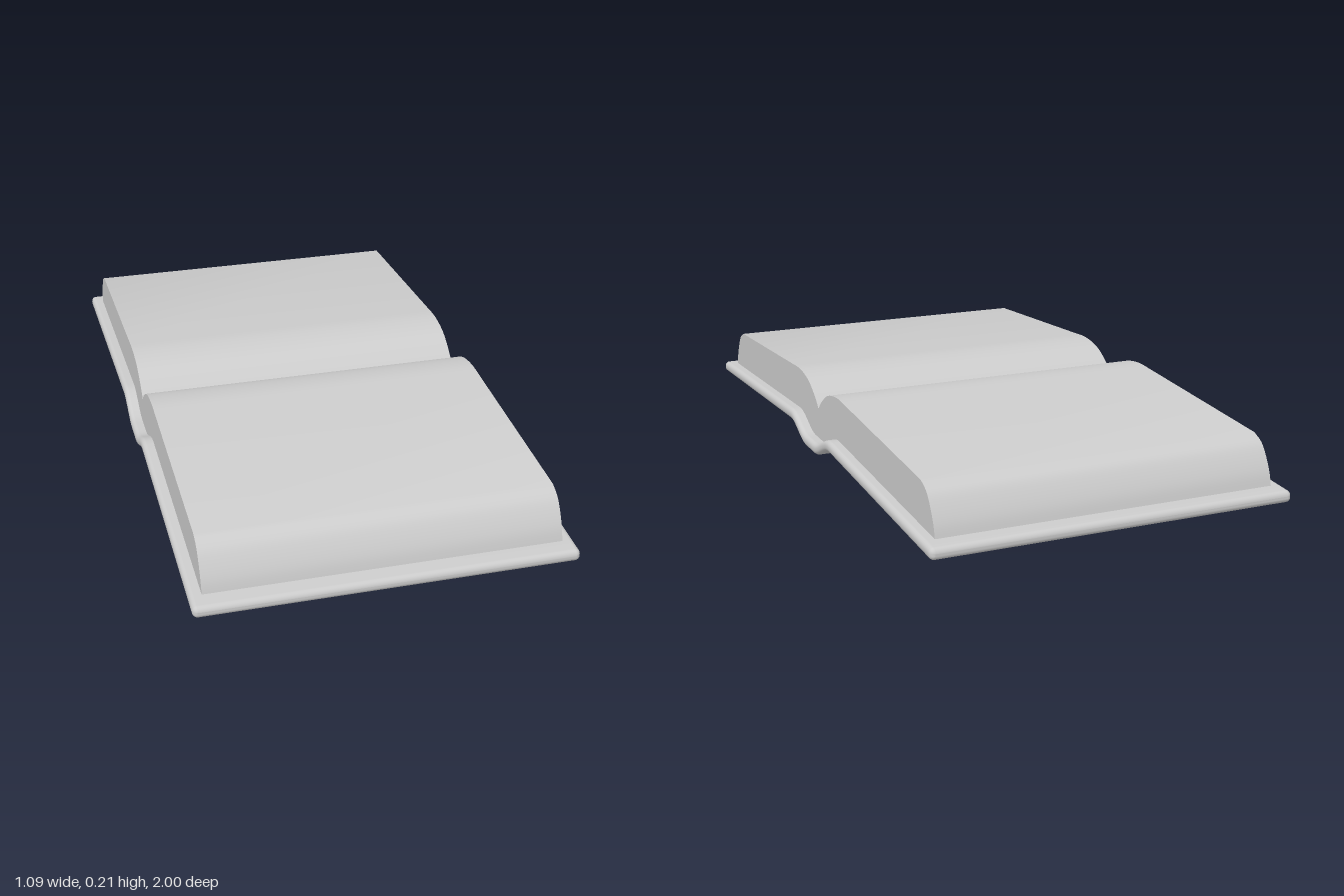
import * as THREE from 'three';
import { toCreasedNormals } from 'three/addons/utils/BufferGeometryUtils.js';

const HALF_W = 0.545, HALF_T = 0.0175, ROUND = 0.015;

// Height of the cover's middle line: a dipped spine, then boards sloping down
function coverY(z) {
  const a = Math.abs(z);
  const board = 0.064 - 0.042 * (a - 0.2) / 0.8;
  return THREE.MathUtils.lerp(HALF_T, board, THREE.MathUtils.smoothstep(a, 0.04, 0.19));
}

// Rounded slab swept along z, following the cover's middle line
function coverGeometry() {
  const stations = [];
  const steps = 5;
  for (let i = 0; i <= steps; i++) {
    const t = (i / steps) * Math.PI / 2;
    stations.push([-1 + ROUND * (1 - Math.sin(t)), ROUND * (1 - Math.cos(t))]);
  }
  // edge roundings run from the small end section to the full section
  const ends = stations.map(([z, inset]) => [z, inset]).reverse();
  const start = ends.map((_, i) => {
    const t = (i / steps) * Math.PI / 2;
    return [-1 + ROUND * (1 - Math.cos(t)), ROUND * (1 - Math.sin(t))];
  });
  const middle = [];
  for (let z = -0.96; z < 0.961; z += 0.02) middle.push([z, 0]);
  const all = [...start, ...middle, ...start.map(([z, d]) => [-z, d]).reverse()];

  const pos = [], idx = [], perCorner = 6, n = perCorner * 4;
  for (const [z, inset] of all) {
    const y0 = coverY(z);
    const r = Math.max(ROUND - inset, 0.001);
    const cx = HALF_W - ROUND, cy = HALF_T - ROUND;
    for (let c = 0; c < 4; c++) {
      const sx = c === 0 || c === 3 ? 1 : -1, sy = c < 2 ? 1 : -1;
      for (let k = 0; k < perCorner; k++) {
        const a = (c + k / (perCorner - 1)) * Math.PI / 2;
        pos.push(sx * cx + r * Math.cos(a), y0 + sy * cy + r * Math.sin(a), z);
      }
    }
  }
  for (let i = 0; i < all.length - 1; i++) {
    for (let j = 0; j < n; j++) {
      const a = i * n + j, b = i * n + (j + 1) % n;
      idx.push(a, b, b + n, a, b + n, a + n);
    }
  }
  // close both ends
  const last = (all.length - 1) * n;
  for (let j = 1; j < n - 1; j++) {
    idx.push(0, j + 1, j, last, last + j, last + j + 1);
  }
  const geo = new THREE.BufferGeometry();
  geo.setAttribute('position', new THREE.Float32BufferAttribute(pos, 3));
  geo.setIndex(idx);
  geo.computeVertexNormals();
  return geo;
}

// Page block: mirrored side profile extruded across the width
function pagesGeometry() {
  const half = new THREE.SplineCurve([
    [0, 0.13], [0.03, 0.158], [0.08, 0.19], [0.13, 0.206], [0.19, 0.213], [0.25, 0.21],
  ].map(p => new THREE.Vector2(...p))).getPoints(20);
  const edge = new THREE.SplineCurve([
    [0.85, 0.173], [0.888, 0.154], [0.914, 0.12], [0.935, 0.078], [0.945, 0.04],
  ].map(p => new THREE.Vector2(...p))).getPoints(12);
  half.push(...edge);
  const outline = [...half.slice(1).reverse().map(p => new THREE.Vector2(-p.x, p.y)), ...half];
  // underside rests just inside the cover
  for (let i = 0; i <= 60; i++) {
    const z = 0.94 - 1.88 * i / 60;
    outline.push(new THREE.Vector2(z, coverY(z) + 0.008));
  }
  const geo = new THREE.ExtrudeGeometry(new THREE.Shape(outline), { depth: 1.02, bevelEnabled: false });
  geo.translate(0, 0, -0.51);
  geo.rotateY(Math.PI / 2);
  return toCreasedNormals(geo, 0.35);
}

export function createModel() {
  const group = new THREE.Group();
  group.name = 'openBook';
  const material = new THREE.MeshStandardMaterial({ color: 0xcccccc });
  const add = (name, geo) => {
    const mesh = new THREE.Mesh(geo, material);
    mesh.name = name;
    group.add(mesh);
  };
  add('cover', coverGeometry());
  add('pages', pagesGeometry());
  return group;
}
